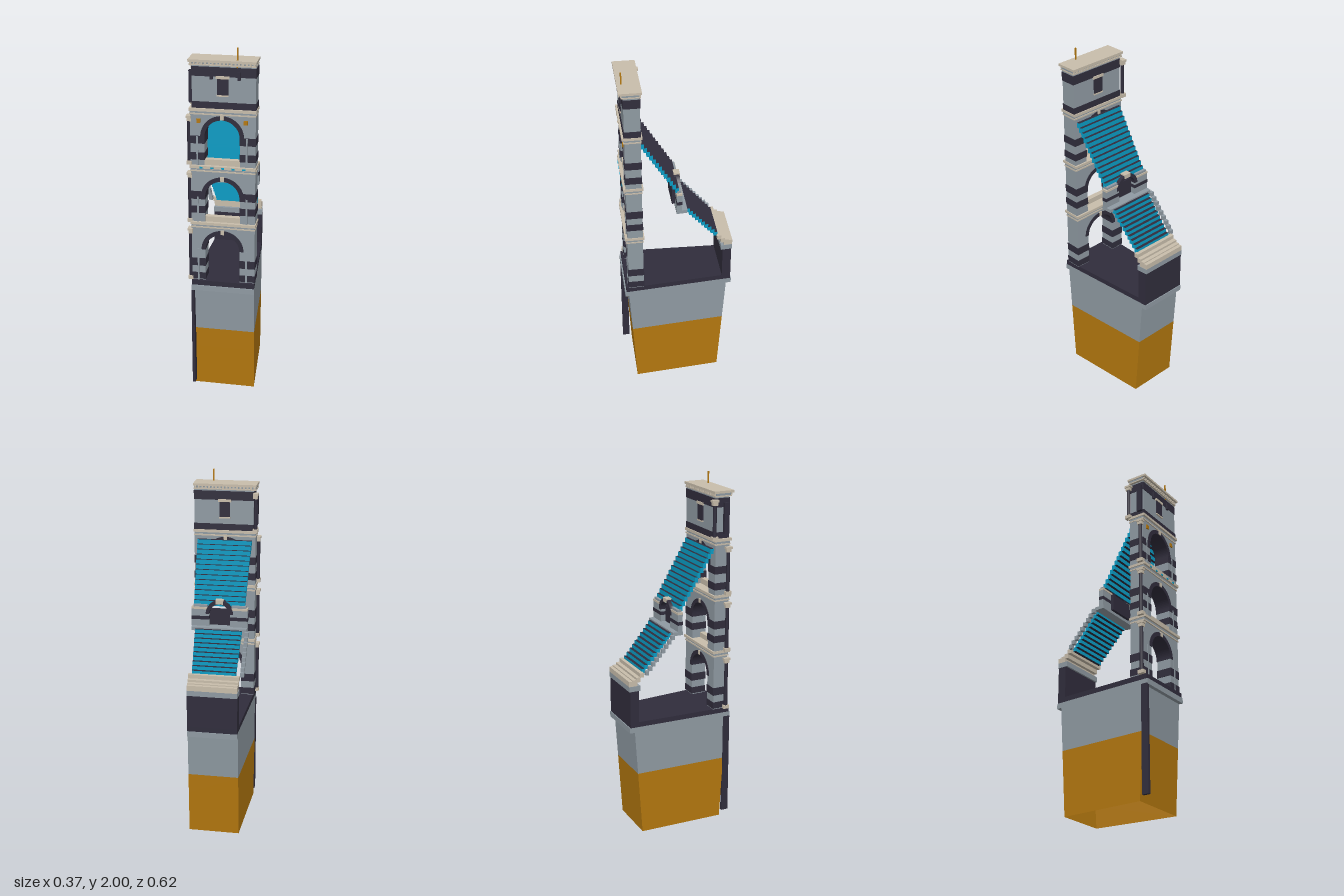
import * as THREE from 'three';

const mat = (name, color, side = THREE.FrontSide) => {
  const m = new THREE.MeshStandardMaterial({ color, side });
  m.name = name;
  return m;
};

export function createModel() {
  const grey = mat('greyStone', 0x8f9aa2);
  const cream = mat('creamStone', 0xc8bdab);
  const dark = mat('darkStone', 0x302d3c);
  const ochre = mat('ochreEarth', 0xb4780f, THREE.DoubleSide);
  const teal = mat('tealSeats', 0x0a9cc4);

  const model = new THREE.Group();
  model.name = 'amphitheatreSegment';
  const section = (name) => {
    const g = new THREE.Group();
    g.name = name;
    model.add(g);
    return g;
  };
  const add = (parent, name, geo, material) => {
    const m = new THREE.Mesh(geo, material);
    m.name = name;
    parent.add(m);
    return m;
  };

  // Plan edges: the segment narrows towards the back
  const xl = (z) => -0.155 - 0.037 * z;
  const xr = (z) => 0.16 + 0.078 * z;

  // Box by its limits
  const box = (parent, name, material, x0, x1, y0, y1, z0, z1) => {
    const geo = new THREE.BoxGeometry(x1 - x0, y1 - y0, z1 - z0);
    geo.translate((x0 + x1) / 2, (y0 + y1) / 2, (z0 + z1) / 2);
    return add(parent, name, geo, material);
  };

  // Box that follows the plan edges; zb gives different depths at its foot
  const wedge = (parent, name, material, y0, y1, z0, z1, inL = 0, inR = inL, zb = [z0, z1]) => {
    const geo = new THREE.BoxGeometry(1, 1, 1);
    const p = geo.attributes.position;
    for (let i = 0; i < p.count; i++) {
      const up = p.getY(i) > 0, front = p.getZ(i) > 0;
      const z = up ? (front ? z1 : z0) : (front ? zb[1] : zb[0]);
      p.setXYZ(i, p.getX(i) > 0 ? xr(z) - inR : xl(z) + inL, up ? y1 : y0, z);
    }
    geo.computeVertexNormals();
    return add(parent, name, geo, material);
  };

  // Battered base in bands, the lowest one open underneath
  const base = section('base');
  const levels = [0, 0.125, 0.25, 0.37, 0.5, 0.63];
  const back = (y) => -0.24 - 0.065 * y, front = (y) => 0.25 + 0.055 * y;
  for (let i = 0; i < 5; i++) {
    const a = levels[i], b = levels[i + 1];
    const band = wedge(base, 'baseBand', i < 3 ? ochre : grey, a, b,
      back(b), front(b), 0, 0, [back(a), front(a)]);
    if (i === 0) {
      const idx = Array.from(band.geometry.index.array);
      band.geometry.setIndex([...idx.slice(0, 12), ...idx.slice(24)]);
      band.geometry.clearGroups();
    }
  }
  wedge(base, 'podiumSlab', grey, 0.625, 0.656, -0.31, 0.307);
  wedge(base, 'arenaFloor', dark, 0.656, 0.685, -0.305, 0.3);
  box(base, 'foundationPier', dark, -0.168, -0.152, 0.03, 0.63, 0.265, 0.305);

  // Facade: three arched storeys
  const facade = section('facade');
  const X0 = -0.165, X1 = 0.182, Z0 = 0.2, Z1 = 0.285, CX = 0.005, R = 0.095;
  const extrude = (parent, name, material, shape, z0, z1) => {
    const geo = new THREE.ExtrudeGeometry(shape, { depth: z1 - z0, bevelEnabled: false, curveSegments: 16 });
    geo.translate(0, 0, z0);
    return add(parent, name, geo, material);
  };
  const archRing = (parent, cx, cy, inner, outer, z0, z1) => {
    const s = new THREE.Shape();
    s.absarc(cx, cy, outer, 0, Math.PI, false);
    s.absarc(cx, cy, inner, Math.PI, 0, true);
    extrude(parent, 'archStones', dark, s, z0, z1);
  };
  const column = (parent, x, z, y0, y1) => {
    const shaft = add(parent, 'columnShaft', new THREE.CylinderGeometry(0.01, 0.011, y1 - y0 - 0.04, 10), dark);
    shaft.position.set(x, (y0 + y1) / 2, z);
    box(parent, 'columnBase', cream, x - 0.013, x + 0.014, y0, y0 + 0.02, z - 0.018, z + 0.018);
    box(parent, 'columnNeck', cream, x - 0.01, x + 0.014, y1 - 0.03, y1 - 0.012, z - 0.014, z + 0.014);
    box(parent, 'columnCapital', cream, x - 0.014, x + 0.014, y1 - 0.012, y1, z - 0.02, z + 0.02);
  };

  const storeys = [
    { y0: 0.685, spring: 0.87, top: 1.0, darks: [[0.69, 0.728], [0.77, 0.815]], sill: 0 },
    { y0: 1.03, spring: 1.18, top: 1.325, darks: [[1.085, 1.125], [1.165, 1.21]], sill: 1.065 },
    { y0: 1.36, spring: 1.52, top: 1.64, darks: [[1.39, 1.43], [1.48, 1.522]], sill: 1.392 },
  ];
  for (const { y0, spring, top, darks, sill } of storeys) {
    // Wall with arched opening
    const s = new THREE.Shape();
    s.moveTo(X0, y0);
    s.lineTo(CX - R, y0);
    s.lineTo(CX - R, spring);
    s.absarc(CX, spring, R, Math.PI, 0, true);
    s.lineTo(CX + R, y0);
    s.lineTo(X1, y0);
    s.lineTo(X1, top);
    s.lineTo(X0, top);
    extrude(facade, 'arcadeWall', grey, s, Z0, Z1);
    archRing(facade, CX, spring, R - 0.002, R + 0.021, Z0 - 0.003, Z1 + 0.004);
    box(facade, 'keystone', cream, CX - 0.01, CX + 0.01, spring + R, spring + R + 0.025, Z0 - 0.006, Z1 + 0.008);
    // Dark courses and grey pilasters on the piers
    for (const [a, b] of darks) {
      box(facade, 'darkCourse', dark, X0 - 0.002, CX - R + 0.002, a, b, Z0 - 0.003, Z1 + 0.003);
      box(facade, 'darkCourse', dark, CX + R - 0.002, X1 + 0.002, a, b, Z0 - 0.003, Z1 + 0.003);
    }
    for (const x of [CX - R - 0.038, CX + R + 0.036])
      box(facade, 'pilasterStrip', grey, x - 0.005, x + 0.005, y0, spring, Z1, Z1 + 0.005);
    if (sill) box(facade, 'parapet', cream, CX - R, CX + R, y0, sill, 0.25, 0.28);
    // Cornice of three mouldings
    const h = 0.03;
    box(facade, 'corniceBed', cream, X0 - 0.002, X1 + 0.002, top, top + 0.008, Z0 - 0.004, Z1 + 0.006);
    box(facade, 'corniceFrieze', grey, X0, X1, top + 0.008, top + 0.02, Z0, Z1 + 0.004);
    box(facade, 'corniceCap', cream, X0 - 0.004, X1 + 0.004, top + 0.02, top + h + 0.005, Z0 - 0.009, Z1 + 0.014);
    column(facade, -0.173, 0.275, y0, top - 0.01);
  }
  for (let i = 0; i < 5; i++) {
    const x = X0 + 0.06 + i * 0.057;
    box(facade, 'friezeTile', teal, x - 0.008, x + 0.008, 1.347, 1.355, Z1 + 0.01, Z1 + 0.017);
  }
  for (const x of [-0.12, 0.13])
    box(facade, 'gildedBoss', ochre, x - 0.01, x + 0.01, 1.595, 1.617, Z1, Z1 + 0.007);

  // Attic storey
  const attic = section('attic');
  box(attic, 'atticWall', grey, X0 + 0.012, X1, 1.67, 1.91, Z0, Z1);
  for (const [a, b] of [[1.672, 1.71], [1.845, 1.895]])
    box(attic, 'darkCourse', dark, X0 + 0.01, X1 + 0.002, a, b, Z0 - 0.003, Z1 + 0.003);
  for (const z of [Z0 - 0.006, Z1]) {
    box(attic, 'windowPanel', dark, -0.02, 0.038, 1.75, 1.835, z, z + 0.006);
    box(attic, 'windowLintel', cream, -0.027, 0.045, 1.835, 1.85, z - 0.002, z + 0.009);
    box(attic, 'windowSill', cream, -0.022, 0.04, 1.742, 1.75, z - 0.001, z + 0.008);
  }
  for (const x of [-0.05, 0.095])
    box(attic, 'corbel', dark, x - 0.008, x + 0.008, 1.832, 1.875, Z1, Z1 + 0.012);
  box(attic, 'topBed', cream, X0 - 0.002, X1 + 0.002, 1.903, 1.91, Z0 - 0.006, Z1 + 0.01);
  for (let i = 0; i < 18; i++) {
    const x = X0 + 0.008 + i * 0.0195;
    box(attic, 'dentil', cream, x - 0.005, x + 0.005, 1.91, 1.92, Z0 - 0.006, Z1 + 0.014);
  }
  box(attic, 'topCore', grey, X0, X1, 1.91, 1.922, Z0, Z1 + 0.005);
  box(attic, 'topCap', cream, X0 - 0.004, X1 + 0.005, 1.922, 1.935, 0.188, 0.308);
  box(attic, 'mast', ochre, 0.082, 0.089, 1.87, 2.0, 0.281, 0.288);
  column(attic, -0.166, 0.192, 1.67, 1.89);
  box(attic, 'cornerPilaster', dark, X0 - 0.006, X0 + 0.014, 1.7, 1.87, 0.25, 0.28);

  // Seating: teal risers with dark treads and undersides
  const seating = section('seating');
  const seat = [teal, teal, dark, dark, teal, teal];
  const flight = (name, n, zA, zB, yA, yB, inL, inR) => {
    const dz = (zB - zA) / n, dy = (yB - yA) / n;
    for (let i = 0; i < n; i++)
      wedge(seating, name, seat, yA + dy * (i + 1) - 0.004, yA + dy * i,
        zA + dz * (i + 1) - 0.003, zA + dz * i, inL, inR);
  };
  flight('upperSeat', 13, 0.2, 0.0, 1.62, 1.295, 0.018, 0.011);
  flight('lowerSeat', 10, -0.045, -0.222, 1.17, 0.965, 0.025, 0.021);
  for (let i = 0; i < 9; i++) {
    const z = -0.045 - i * 0.0195, y = 1.165 - i * 0.0225;
    box(seating, 'sideStep', grey, -0.166, -0.145, y - 0.024, y, z - 0.0195, z);
  }

  // Landing and middle wall with arched doorway
  const middle = section('middleWall');
  wedge(middle, 'landing', grey, 1.158, 1.178, -0.05, 0.01);
  for (const [a, b] of [[-0.155, -0.056], [0.062, 0.16]]) {
    box(middle, 'doorFlank', grey, a, b, 1.178, 1.275, -0.02, 0.008);
    box(middle, 'flankCap', cream, a, b, 1.275, 1.287, -0.022, 0.01);
    box(middle, 'flankBand', dark, a - 0.001, b + 0.001, 1.215, 1.235, -0.021, 0.009);
    box(middle, 'flankBlock', grey, a + 0.01, b - 0.01, 1.287, 1.3, -0.018, 0.006);
  }
  archRing(middle, 0.003, 1.25, 0.057, 0.077, -0.024, 0.012);
  box(middle, 'doorKeystone', cream, -0.019, 0.025, 1.308, 1.332, -0.026, 0.008);
  box(middle, 'doorPanel', dark, -0.08, 0.085, 1.175, 1.27, 0.008, 0.026);

  // Lowest cream steps above the back wall
  const podium = section('backWall');
  wedge(podium, 'wall', dark, 0.685, 0.87, -0.305, -0.255);
  wedge(podium, 'wallCoping', grey, 0.87, 0.9, -0.31, -0.245);
  [[-0.245, -0.222, 0.945, 0.97], [-0.268, -0.243, 0.92, 0.948],
    [-0.29, -0.262, 0.9, 0.936], [-0.31, -0.288, 0.9, 0.93]].forEach(([z0, z1, y0, y1]) =>
    wedge(podium, 'creamStep', cream, y0, y1, z0, z1, 0.002));
  return model;
}
